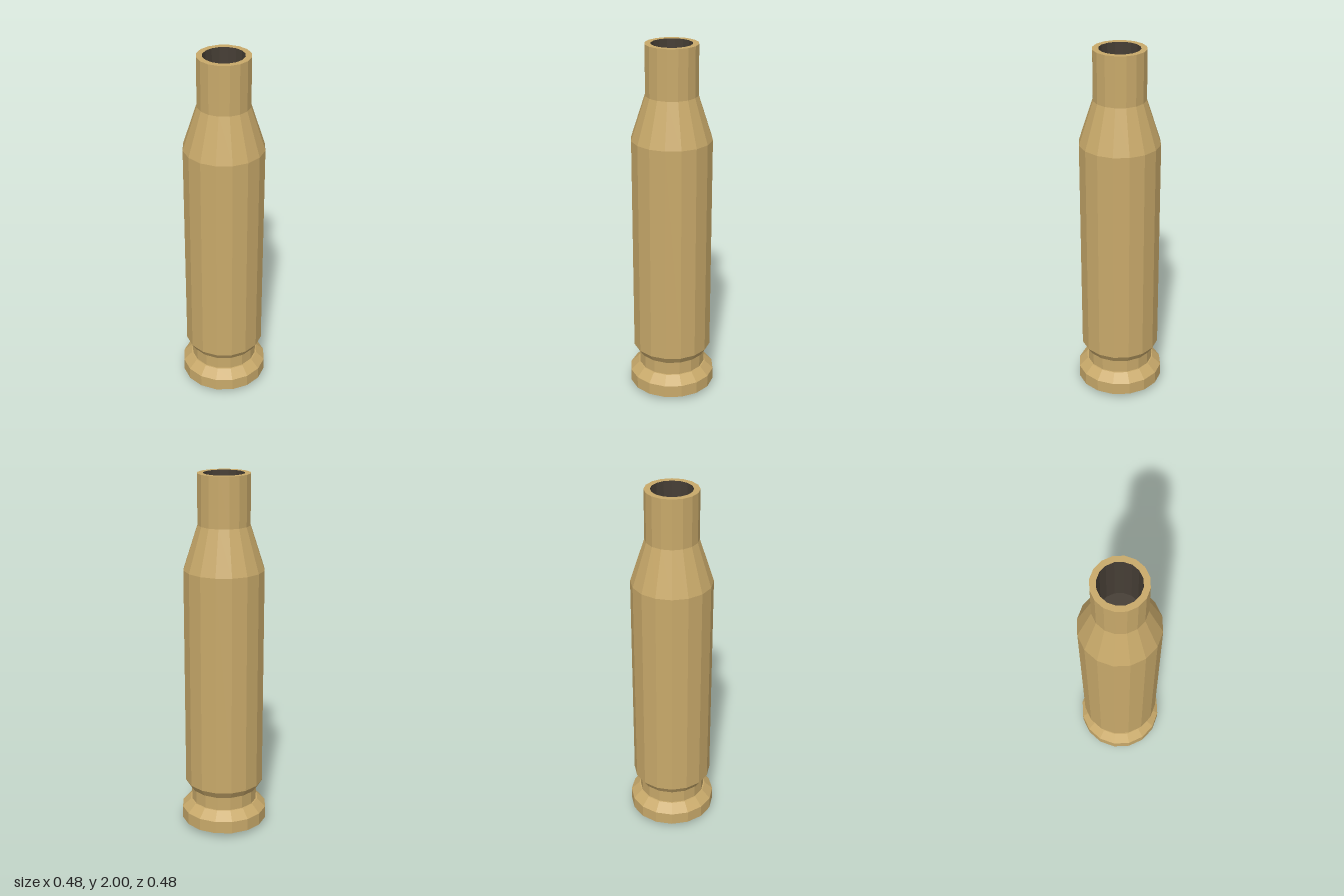
import * as THREE from 'three';

const SIDES = 16;
const brass = new THREE.MeshStandardMaterial({ color: 0xc8a96a, flatShading: true });
const soot = new THREE.MeshStandardMaterial({ color: 0x463e35, flatShading: true });

// Faceted solid of revolution; profile is [radius, y], bottom to top on the outside
function turned(name, profile, material) {
  const points = profile.map(([r, y]) => new THREE.Vector2(r, y));
  const mesh = new THREE.Mesh(new THREE.LatheGeometry(points, SIDES), material);
  mesh.name = name;
  return mesh;
}

export function createModel() {
  const group = new THREE.Group();
  group.name = 'emptyCasing';

  // Small raised button under the base
  group.add(turned('primer', [[0, 0], [0.062, 0], [0.062, 0.028]], brass));

  // Base disc with a bevelled top edge
  group.add(turned('rim', [[0, 0.028], [0.241, 0.028], [0.241, 0.098], [0.193, 0.145], [0.185, 0.145]], brass));

  // Narrow groove between rim and body
  group.add(turned('extractorGroove', [[0.186, 0.145], [0.186, 0.225]], brass));

  // Body, sloping shoulder, neck and the flat lip of the mouth
  group.add(turned('body', [
    [0.186, 0.225], [0.195, 0.225], [0.22, 0.265], [0.22, 1.49],
    [0.142, 1.73], [0.142, 2], [0.11, 2],
  ], brass));

  // Dark hollow inside the neck, running down to a closed floor
  group.add(turned('bore', [[0.11, 2], [0.11, 1.65], [0, 1.65]], soot));

  return group;
}
